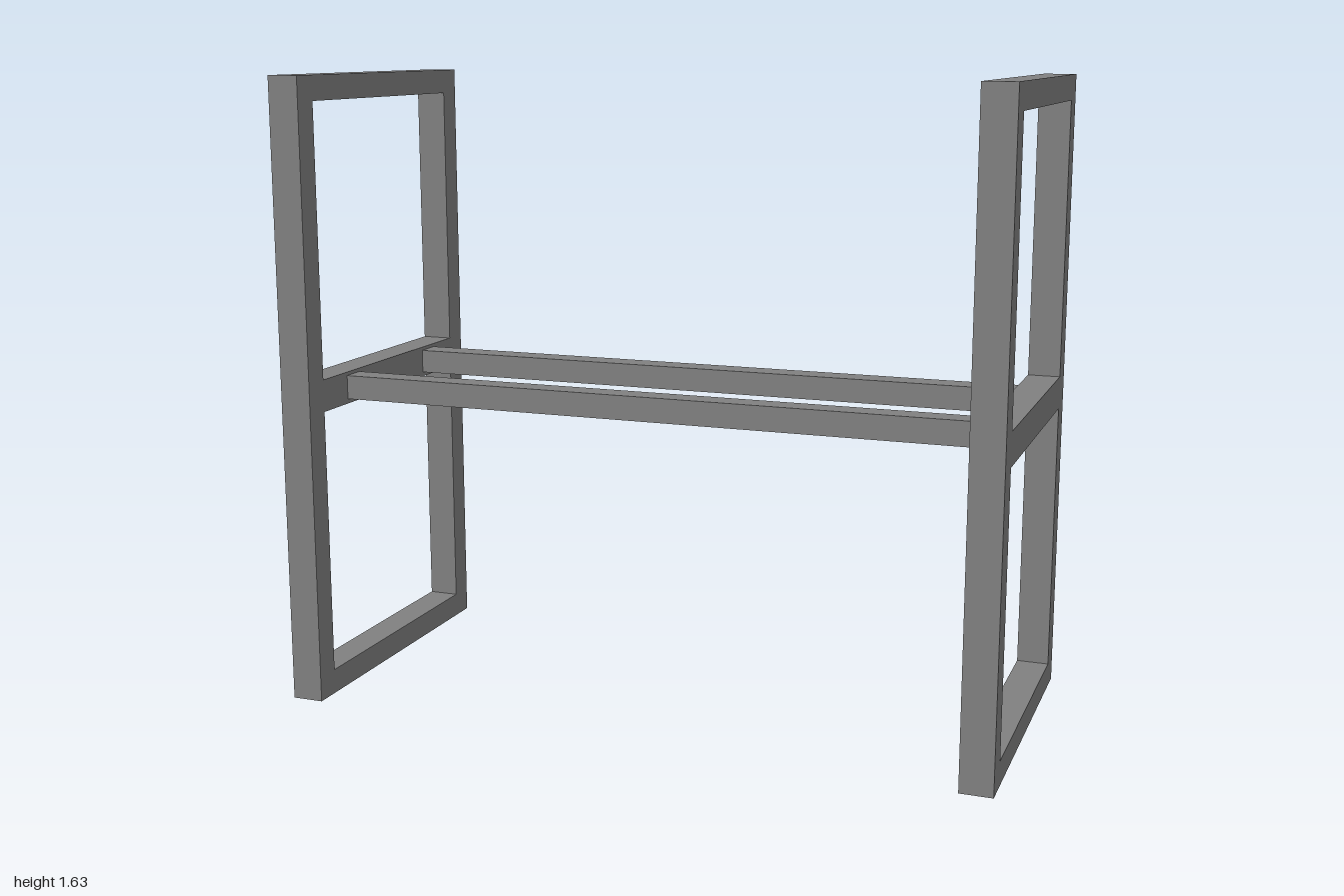
import * as THREE from 'three';

const HEIGHT = 1.635, WIDTH = 0.847, THICK = 0.083; // end frame
const POST = 0.07, BAR = 0.065;
const MID = [0.77, 0.855];                           // middle crossbar bottom and top
const FRAME_X = 0.893;                               // frame centre from the middle

const steel = new THREE.MeshStandardMaterial({ color: 0x808080 });
steel.name = 'grey steel';

function rect(path, x0, y0, x1, y1) {
  path.moveTo(x0, y0);
  path.lineTo(x1, y0);
  path.lineTo(x1, y1);
  path.lineTo(x0, y1);
  path.closePath();
  return path;
}

// Upright rectangle with two openings, lying in the yz plane
function frameGeometry() {
  const w = WIDTH / 2, inner = w - POST;
  const shape = rect(new THREE.Shape(), -w, 0, w, HEIGHT);
  shape.holes.push(
    rect(new THREE.Path(), -inner, BAR, inner, MID[0]),
    rect(new THREE.Path(), -inner, MID[1], inner, HEIGHT - BAR),
  );
  return new THREE.ExtrudeGeometry(shape, { depth: THICK, bevelEnabled: false })
    .translate(0, 0, -THICK / 2)
    .rotateY(Math.PI / 2);
}

export function createModel() {
  const model = new THREE.Group();
  model.name = 'rackFrame';

  // The whole rack stands turned about the vertical axis
  const rack = new THREE.Group();
  rack.name = 'rack';
  rack.rotation.y = 0.204;
  model.add(rack);

  // End frames
  const frame = frameGeometry();
  for (const [name, side] of [['leftEndFrame', 1], ['rightEndFrame', -1]]) {
    const mesh = new THREE.Mesh(frame, steel);
    mesh.name = name;
    mesh.position.x = side * FRAME_X;
    rack.add(mesh);
  }

  // Rails joining the middle crossbars
  const length = 2 * FRAME_X - THICK;
  for (const [name, z, depth] of [['frontRail', 0.202, 0.065], ['backRail', -0.218, 0.07]]) {
    const mesh = new THREE.Mesh(new THREE.BoxGeometry(length, 0.063, depth), steel);
    mesh.name = name;
    mesh.position.set(0, 0.814, z);
    rack.add(mesh);
  }
  return model;
}
